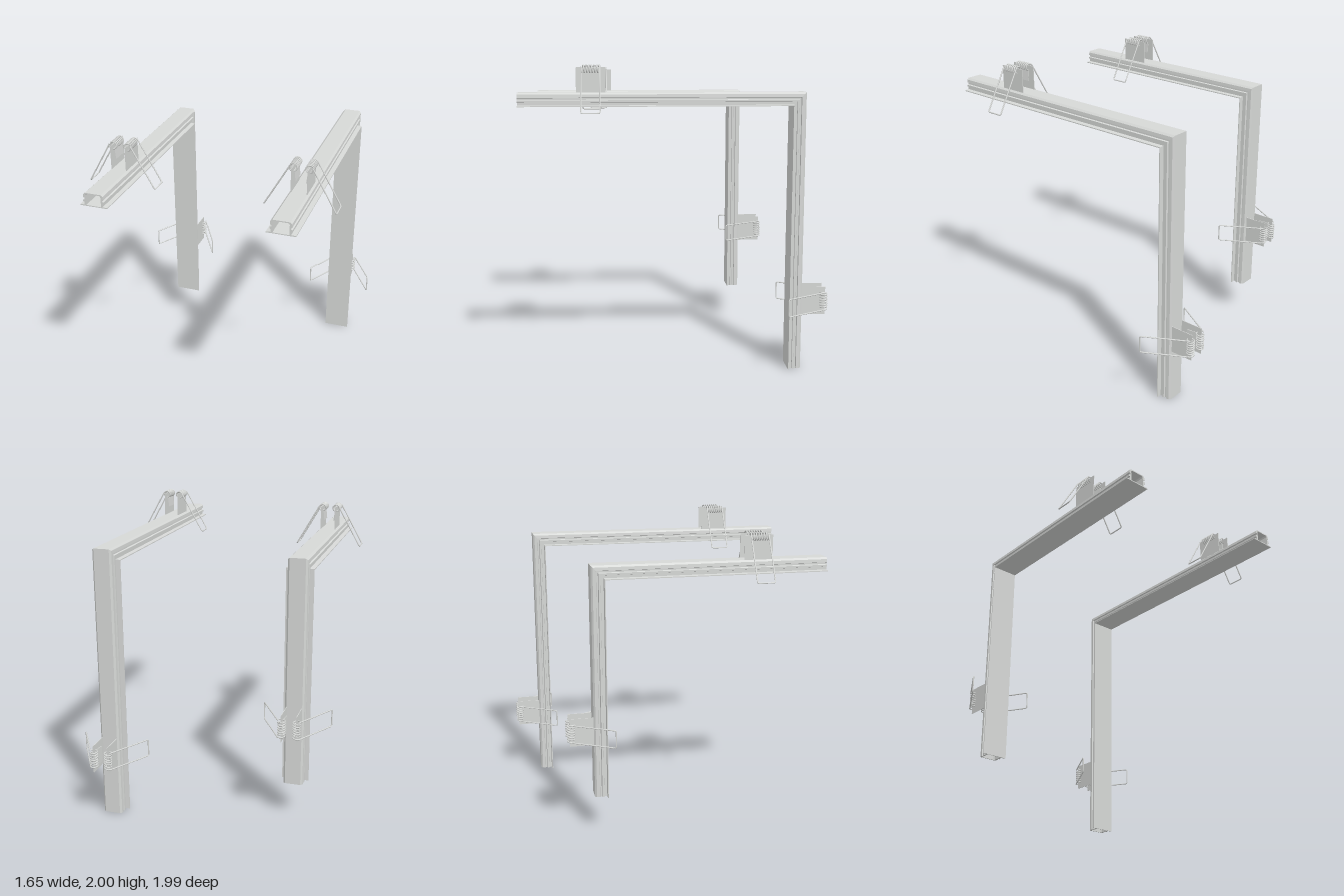
import * as THREE from 'three';

const metal = new THREE.MeshStandardMaterial({ color: 0xd6d8d6 });
metal.name = 'satin grey metal';

// Half cross-sections (x, height above the flange face), listed bottom to top
const outerHalf = [[0.09, 0], [0.09, 0.006], [0.06, 0.008], [0.06, 0.026], [0.068, 0.028], [0.068, 0.04],
  [0.057, 0.043], [0.057, 0.053], [0.066, 0.056], [0.064, 0.076], [0.052, 0.087]];
const innerHalf = [[0.05, 0.006], [0.05, 0.07], [0.044, 0.08]];

const mirrorLoop = (half) => [...half, ...half.slice().reverse().map(([x, h]) => [-x, h])]
  .map(([x, h]) => new THREE.Vector2(x, h));

// Hollow channel swept along a mitred right angle
function channelGeometry(frame) {
  const { y0, zc, zEnd, yEnd } = frame;
  const outer = mirrorLoop(outerHalf);
  const inner = mirrorLoop(innerHalf).reverse();
  const stations = [
    (p) => [p.x, y0 + p.y, zEnd],
    (p) => [p.x, y0 + p.y, zc - p.y],
    (p) => [p.x, yEnd, zc - p.y],
  ];
  const pos = [];
  for (const loop of [outer, inner]) {
    for (let s = 0; s < 2; s++) {
      loop.forEach((p, i) => {
        const q = loop[(i + 1) % loop.length];
        const a = stations[s](p), b = stations[s](q);
        const c = stations[s + 1](p), d = stations[s + 1](q);
        pos.push(...a, ...c, ...b, ...b, ...c, ...d);
      });
    }
  }
  // End faces
  const all = [...outer, ...inner];
  for (const [i, j, k] of THREE.ShapeUtils.triangulateShape(outer, [inner])) {
    pos.push(...[i, j, k].flatMap((n) => stations[0](all[n])));
    pos.push(...[i, k, j].flatMap((n) => stations[2](all[n])));
  }
  const g = new THREE.BufferGeometry();
  g.setAttribute('position', new THREE.Float32BufferAttribute(pos, 3));
  g.computeVertexNormals();
  return g;
}

class Helix extends THREE.Curve {
  constructor(radius, length, turns) {
    super();
    Object.assign(this, { radius, length, turns });
  }
  getPoint(t, target = new THREE.Vector3()) {
    const a = t * this.turns * Math.PI * 2;
    return target.set(this.radius * Math.cos(a), this.radius * Math.sin(a), (t - 0.5) * this.length);
  }
}

// U-shaped wire arm with rounded corners
function armCurve() {
  const w = 0.058, r = 0.012;
  const top = new THREE.Vector3(0.02, 0.013, 0), tip = new THREE.Vector3(0.178, -0.264, 0);
  const dir = tip.clone().sub(top).normalize();
  const near = tip.clone().addScaledVector(dir, -r);
  const at = (p, z) => new THREE.Vector3(p.x, p.y, z);
  const path = new THREE.CurvePath();
  path.add(new THREE.LineCurve3(at(top, w), at(near, w)));
  path.add(new THREE.QuadraticBezierCurve3(at(near, w), at(tip, w), at(tip, w - r)));
  path.add(new THREE.LineCurve3(at(tip, w - r), at(tip, r - w)));
  path.add(new THREE.QuadraticBezierCurve3(at(tip, r - w), at(tip, -w), at(near, -w)));
  path.add(new THREE.LineCurve3(at(near, -w), at(top, -w)));
  return path;
}

const plateGeo = new THREE.BoxGeometry(0.004, 0.158, 0.185);
const tabGeo = new THREE.BoxGeometry(0.004, 0.065, 0.11);
const coilGeo = new THREE.TubeGeometry(new Helix(0.023, 0.116, 7), 126, 0.0042, 8);
const armGeo = new THREE.TubeGeometry(armCurve(), 90, 0.0045, 8);

function add(parent, name, geo, x = 0, y = 0, z = 0) {
  const m = new THREE.Mesh(geo, metal);
  m.name = name;
  m.position.set(x, y, z);
  parent.add(m);
  return m;
}

// Pair of mirrored spring clips; y points away from the channel, z runs along it
function springClipPair() {
  const pair = new THREE.Group();
  pair.name = 'springClipPair';
  for (const side of [1, -1]) {
    const clip = new THREE.Group();
    clip.name = side > 0 ? 'leftClip' : 'rightClip';
    add(clip, 'clipPlate', plateGeo, 0.05, 0.164, 0);
    add(clip, 'clipTab', tabGeo, 0.038, 0.175, 0).rotation.z = -0.12;
    add(clip, 'springCoil', coilGeo, 0.049, 0.233, 0);
    add(clip, 'springArm', armGeo, 0.049, 0.233, 0);
    clip.scale.x = side;
    pair.add(clip);
  }
  return pair;
}

export function createModel() {
  const model = new THREE.Group();
  model.name = 'mountingFrames';
  const frames = [
    { name: 'leftFrame', x: 0.595, y0: 1.74, zc: -0.735, zEnd: 1.0, yEnd: 0, clipZ: 0.542, clipY: 0.46 },
    { name: 'rightFrame', x: -0.595, y0: 1.702, zc: -0.479, zEnd: 0.965, yEnd: 0.26, clipZ: 0.507, clipY: 0.715 },
  ];
  for (const f of frames) {
    const frame = new THREE.Group();
    frame.name = f.name;
    frame.position.x = f.x;
    add(frame, 'channel', channelGeometry(f));
    const topClips = springClipPair();
    topClips.position.set(0, f.y0, f.clipZ);
    const backClips = springClipPair();
    backClips.rotation.x = -Math.PI / 2;
    backClips.position.set(0, f.clipY, f.zc);
    frame.add(topClips, backClips);
    model.add(frame);
  }
  return model;
}
